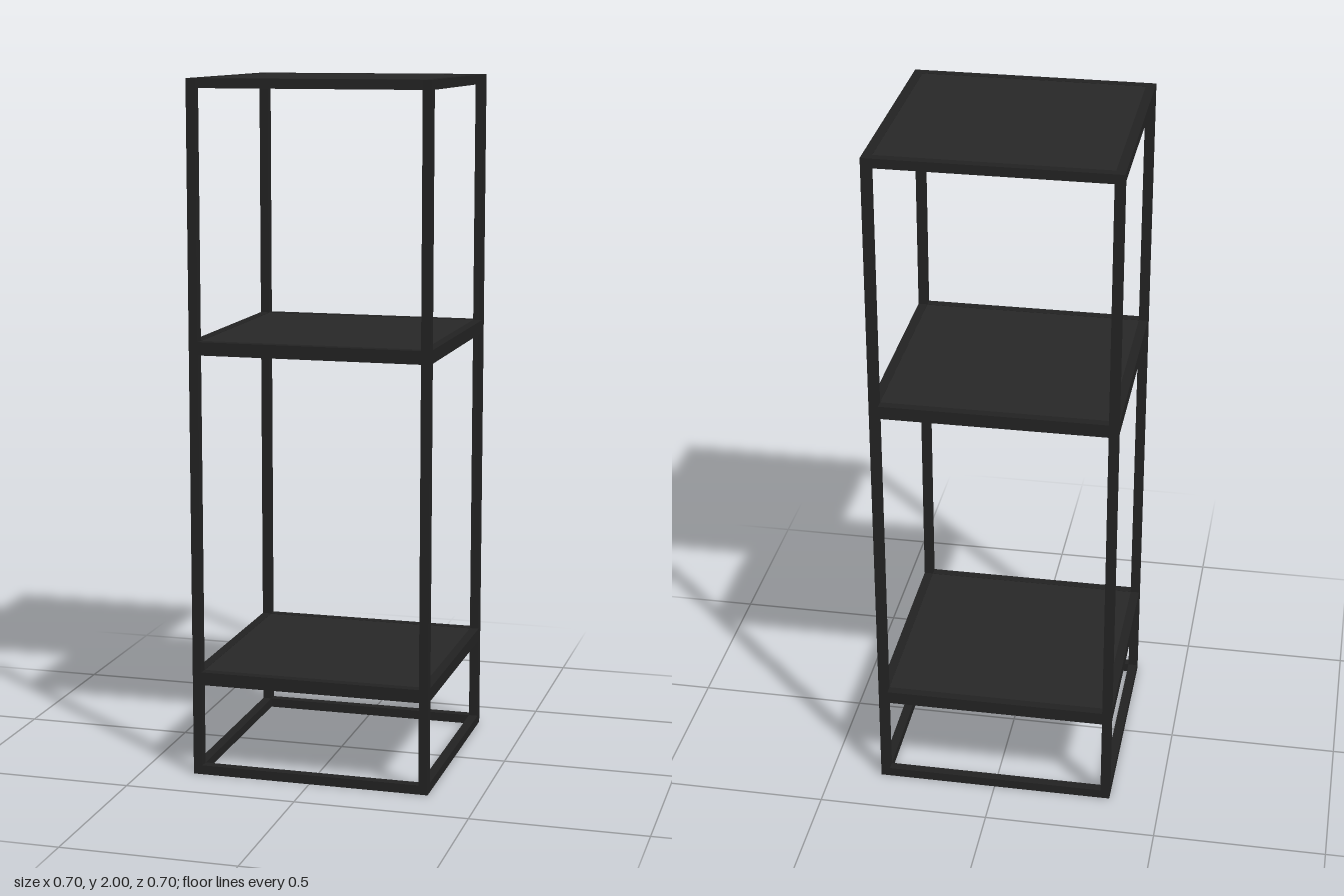
import * as THREE from 'three';

const HALF = 0.349; // half width of the square footprint
const BAR = 0.027;  // side of the square tube

export function createModel() {
  const model = new THREE.Group();
  const frameMat = new THREE.MeshStandardMaterial({ color: 0x222222 });
  const panelMat = new THREE.MeshStandardMaterial({ color: 0x272727 });

  const box = (name, parent, mat, w, h, d, x, y, z) => {
    const mesh = new THREE.Mesh(new THREE.BoxGeometry(w, h, d), mat);
    mesh.name = name;
    mesh.position.set(x, y, z);
    parent.add(mesh);
  };

  const c = HALF - BAR / 2;      // centre line of the bars
  const inner = 2 * (HALF - BAR); // clear span between posts

  // Corner posts
  for (const sx of [-1, 1]) {
    for (const sz of [-1, 1]) box('cornerPost', model, frameMat, BAR, 2, BAR, sx * c, 1, sz * c);
  }

  // Square rings of rails; all but the base ring hold a shelf panel
  const levels = [
    { name: 'base', top: BAR, height: BAR, panel: false },
    { name: 'lowerShelf', top: 0.307, height: 0.038, panel: true },
    { name: 'middleShelf', top: 1.268, height: 0.038, panel: true },
    { name: 'topShelf', top: 2, height: BAR, panel: true },
  ];
  for (const { name, top, height, panel } of levels) {
    const level = new THREE.Group();
    level.name = name;
    const y = top - height / 2;
    for (const s of [-1, 1]) {
      box('crossRail', level, frameMat, inner, height, BAR, 0, y, s * c);
      box('sideRail', level, frameMat, BAR, height, inner, s * c, y, 0);
    }
    // Panel nearly flush with the rails, leaving a recess underneath
    if (panel) box('panel', level, panelMat, inner, 0.016, inner, 0, top - 0.009, 0);
    model.add(level);
  }
  return model;
}
